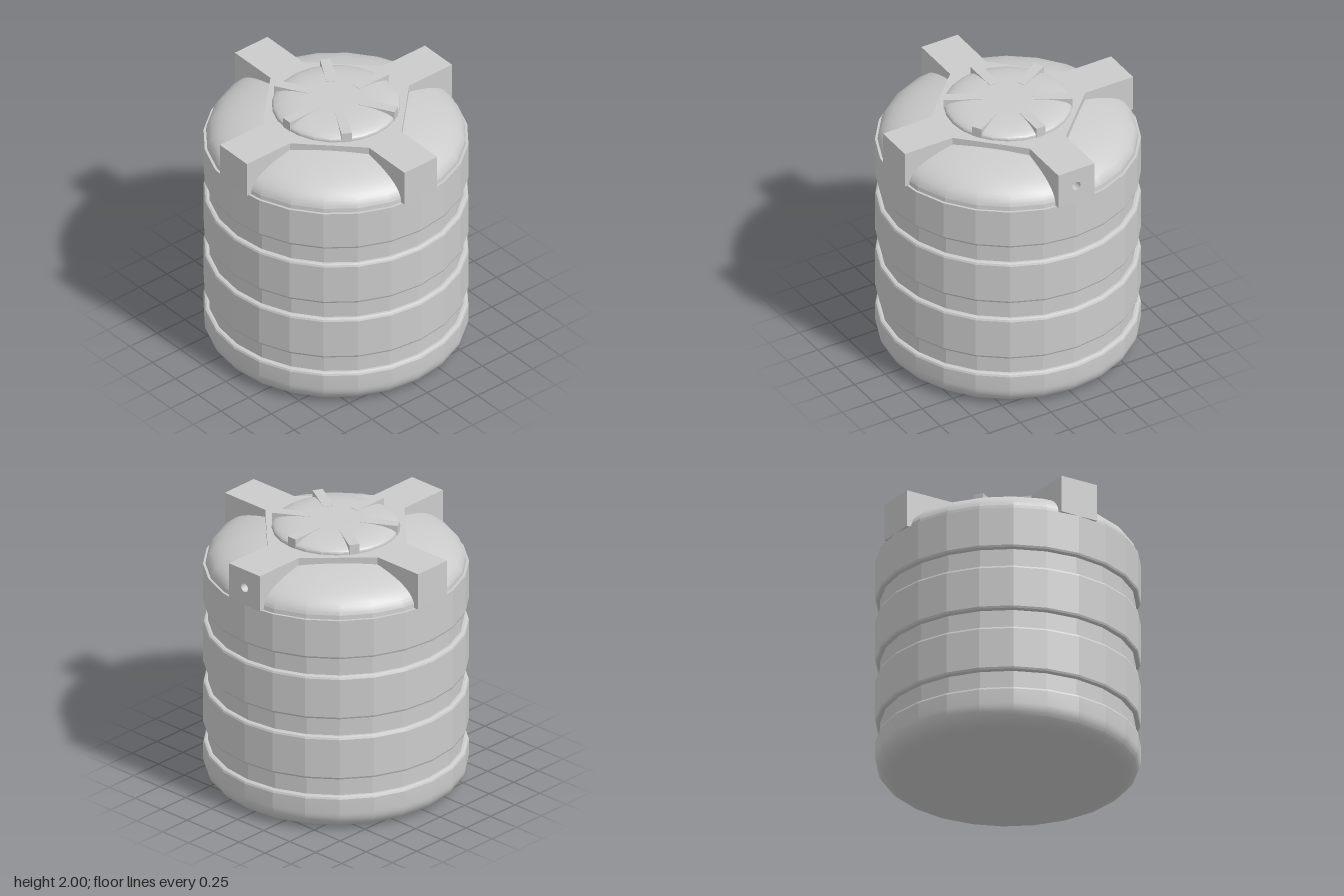
import * as THREE from 'three';
import { toCreasedNormals } from 'three/addons/utils/BufferGeometryUtils.js';

const SIDES = 24;
const CREASE = 0.24; // below the 15 degree facet angle, above the profile steps

export function createModel() {
  const group = new THREE.Group();
  const material = new THREE.MeshStandardMaterial({ color: 0xcccccc });

  const add = (name, geometry, parent = group) => {
    const mesh = new THREE.Mesh(geometry, material);
    mesh.name = name;
    parent.add(mesh);
    return mesh;
  };
  const lathe = (pts) => toCreasedNormals(
    new THREE.LatheGeometry(pts.map(([r, y]) => new THREE.Vector2(r, y)), SIDES), CREASE);

  // Tank: rounded foot, four raised bands with grooves between, domed shoulder
  const R = 0.93, GROOVE = 0.895;
  const profile = [[0, 0], [0.56, 0]];
  for (let i = 0; i <= 8; i++) {
    const a = (i / 8) * Math.PI / 2;
    profile.push([0.79 + 0.14 * Math.sin(a), 0.145 - 0.14 * Math.cos(a)]);
  }
  for (const [low, high] of [[0.275, 0.405], [0.74, 0.875], [1.21, 1.345]]) {
    profile.push(
      [R, low - 0.02], [R - 0.006, low - 0.006], [R - 0.018, low], [GROOVE, low],
      [GROOVE, high], [R - 0.018, high], [R - 0.006, high + 0.006], [R, high + 0.02]);
  }
  profile.push([R, 1.65]);
  const power = 2 / 2.3;
  for (let i = 0; i < 18; i++) {
    const a = (i / 18) * Math.PI / 2;
    profile.push([0.912 * Math.cos(a) ** power, 1.65 + 0.26 * Math.sin(a) ** power]);
  }
  profile.push([0, 1.91]);
  add('tank', lathe(profile));

  // Cross brace: chamfered centre plate and four square arms
  const brace = new THREE.Group();
  brace.name = 'crossBrace';
  group.add(brace);
  const TOP = 1.925, BASE = 1.65, W = 0.148, C = 0.54;
  const plate = new THREE.Shape([
    [C, -W], [C, W], [W, C], [-W, C], [-C, W], [-C, -W], [-W, -C], [W, -C],
  ].map(([x, y]) => new THREE.Vector2(x, y)));
  const plateGeometry = new THREE.ExtrudeGeometry(plate, { depth: TOP - BASE, bevelEnabled: false });
  plateGeometry.rotateX(-Math.PI / 2).translate(0, BASE, 0);
  add('bracePlate', plateGeometry, brace);

  for (let i = 0; i < 4; i++) {
    const end = new THREE.Shape([
      new THREE.Vector2(-W, BASE), new THREE.Vector2(W, BASE),
      new THREE.Vector2(W, TOP), new THREE.Vector2(-W, TOP),
    ]);
    // The left arm carries the small round port
    if (i === 1) end.holes.push(new THREE.Path().absarc(0, 1.785, 0.033, 0, Math.PI * 2, true));
    const arm = new THREE.ExtrudeGeometry(end, { depth: R - C, bevelEnabled: false, curveSegments: 16 });
    arm.translate(0, 0, C).rotateY(i * Math.PI / 2);
    add('braceArm', arm, brace);
  }

  // Lid: low dome with a flat middle
  const lid = new THREE.Group();
  lid.name = 'lid';
  group.add(lid);
  const lidProfile = [[0.45, 1.89]];
  for (let i = 0; i <= 10; i++) {
    const a = (i / 10) * Math.PI / 2;
    lidProfile.push([0.2 + 0.25 * Math.cos(a), 1.935 + 0.063 * Math.sin(a)]);
  }
  lidProfile.push([0, 1.998]);
  add('lidDome', lathe(lidProfile), lid);

  // Six radial grip ribs
  for (let i = 0; i < 6; i++) {
    const rib = new THREE.BoxGeometry(0.27, 0.1, 0.075);
    rib.translate(0.315, 1.95, 0).rotateY(i * Math.PI / 3);
    add('lidRib', rib, lid);
  }

  return group;
}
